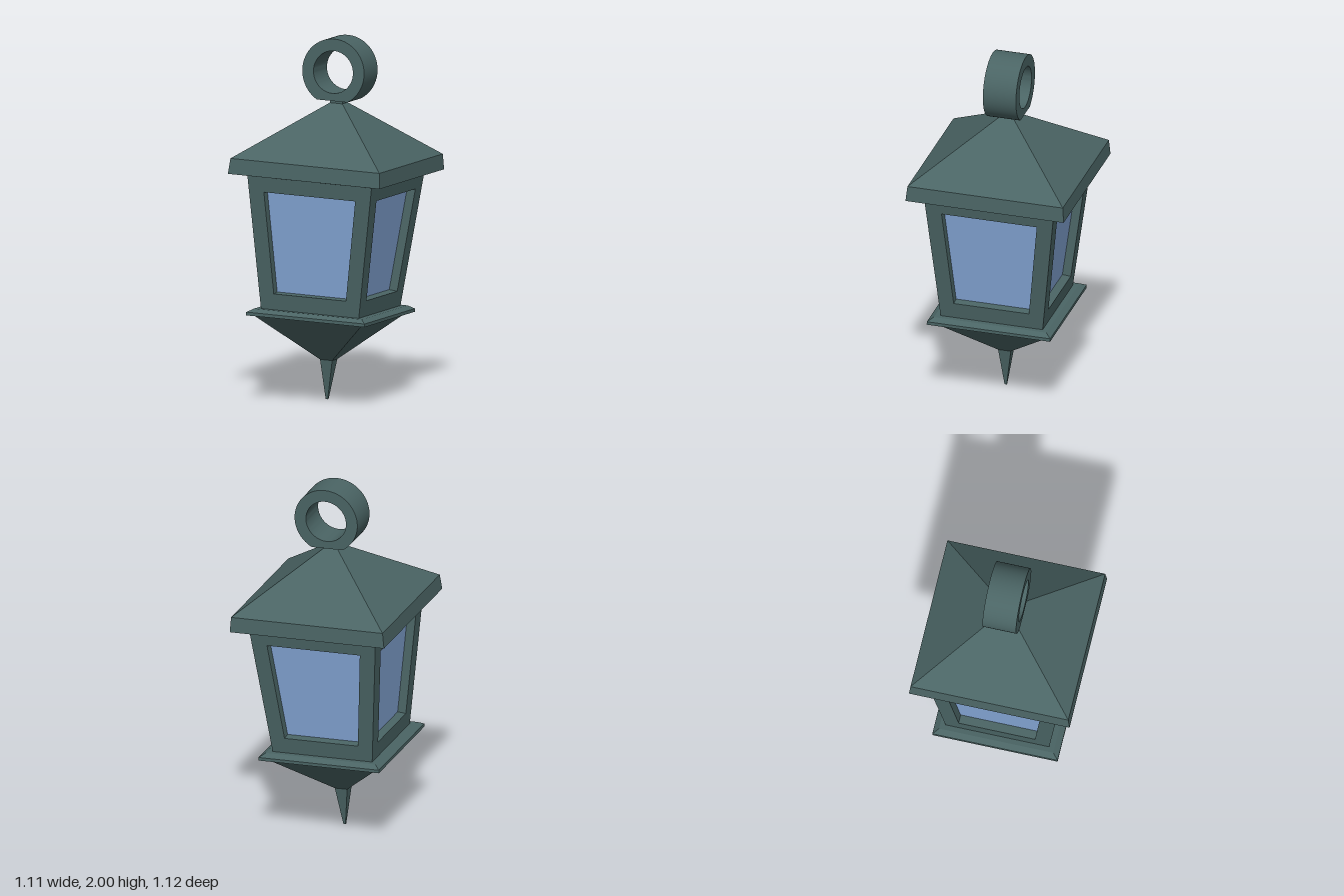
import * as THREE from 'three';
import { toCreasedNormals } from 'three/addons/utils/BufferGeometryUtils.js';

const metal = new THREE.MeshStandardMaterial({ color: 0x4a6464 });
metal.name = 'patinatedMetal';
const glass = new THREE.MeshStandardMaterial({ color: 0x84a6d6 });
glass.name = 'blueGlass';

function add(parent, name, geometry, material) {
  const mesh = new THREE.Mesh(geometry, material);
  mesh.name = name;
  parent.add(mesh);
  return mesh;
}

// Square frustum between two heights, given the half side at each
function squareTier(parent, name, y0, half0, y1, half1) {
  const r = Math.SQRT2;
  const g = new THREE.CylinderGeometry(half1 * r, half0 * r, y1 - y0, 4, 1, false, Math.PI / 4);
  g.translate(0, (y0 + y1) / 2, 0);
  return add(parent, name, toCreasedNormals(g, 0.1), metal);
}

// Symmetric trapezoid, wound counter-clockwise
function trapezoid(y0, half0, y1, half1) {
  return [[-half0, y0], [half0, y0], [half1, y1], [-half1, y1]].map(([x, y]) => new THREE.Vector2(x, y));
}

export function createModel() {
  const lantern = new THREE.Group();
  lantern.name = 'lantern';

  // Stacked square tiers: name, bottom y, bottom half side, top y, top half side
  [
    ['finial', 0, 0.006, 0.22, 0.036],
    ['lowerPyramid', 0.22, 0.036, 0.472, 0.32],
    ['trayRim', 0.472, 0.351, 0.49, 0.351],
    ['trayBevel', 0.49, 0.351, 0.508, 0.32],
    ['soffit', 1.243, 0.371, 1.256, 0.449],
    ['eaves', 1.256, 0.45, 1.341, 0.442],
    ['roof', 1.341, 0.442, 1.638, 0.036],
    ['neck', 1.63, 0.037, 1.665, 0.037],
  ].forEach((tier) => squareTier(lantern, ...tier));

  // Four leaning window frames with recessed panes
  const y0 = 0.505, y1 = 1.25, half0 = 0.29, half1 = 0.369, depth = 0.05;
  const lean = Math.atan2(half1 - half0, y1 - y0);
  const slant = Math.hypot(half1 - half0, y1 - y0);
  const opening = trapezoid(0.0925, 0.214, 0.659, 0.271);
  const frameShape = new THREE.Shape(trapezoid(0, half0, slant, half1));
  frameShape.holes.push(new THREE.Path(opening));
  const frameGeometry = new THREE.ExtrudeGeometry(frameShape, { depth, bevelEnabled: false });
  frameGeometry.translate(0, 0, -depth);
  const paneGeometry = new THREE.ShapeGeometry(new THREE.Shape(opening));
  paneGeometry.translate(0, 0, -depth + 0.002);
  ['front', 'left', 'back', 'right'].forEach((side, i) => {
    const turn = new THREE.Group();
    turn.name = side + 'Side';
    turn.rotation.y = (i * Math.PI) / 2;
    const panel = new THREE.Group();
    panel.name = side + 'Window';
    panel.position.set(0, y0, half0);
    panel.rotation.x = lean;
    add(panel, 'windowFrame', frameGeometry, metal);
    add(panel, 'windowPane', paneGeometry, glass);
    turn.add(panel);
    lantern.add(turn);
  });

  // Hanging ring, flattened where it meets the neck
  const R = 0.183, width = 0.188;
  const cut = Math.acos(0.159 / R);
  const ringShape = new THREE.Shape();
  ringShape.absarc(0, 0, R, -Math.PI / 2 + cut, 1.5 * Math.PI - cut, false);
  ringShape.closePath();
  const hole = new THREE.Path();
  hole.absarc(0, 0, 0.117, 0, Math.PI * 2, true);
  ringShape.holes.push(hole);
  const ringGeometry = new THREE.ExtrudeGeometry(ringShape, { depth: width, bevelEnabled: false, curveSegments: 40 });
  ringGeometry.translate(0, 0, -width / 2);
  ringGeometry.rotateY(Math.PI / 2);
  const ring = add(lantern, 'hangingRing', toCreasedNormals(ringGeometry, 0.5), metal);
  ring.position.y = 1.816;

  // The whole lantern is turned and leans slightly
  const up = new THREE.Vector3(0, 1, 0);
  const axis = new THREE.Vector3(0.028, 1, 0.027).normalize();
  lantern.quaternion.setFromUnitVectors(up, axis)
    .multiply(new THREE.Quaternion().setFromAxisAngle(up, THREE.MathUtils.degToRad(16.2)));
  lantern.position.set(-0.039, 0, -0.036);

  const model = new THREE.Group();
  model.name = 'hangingLantern';
  model.add(lantern);
  return model;
}
